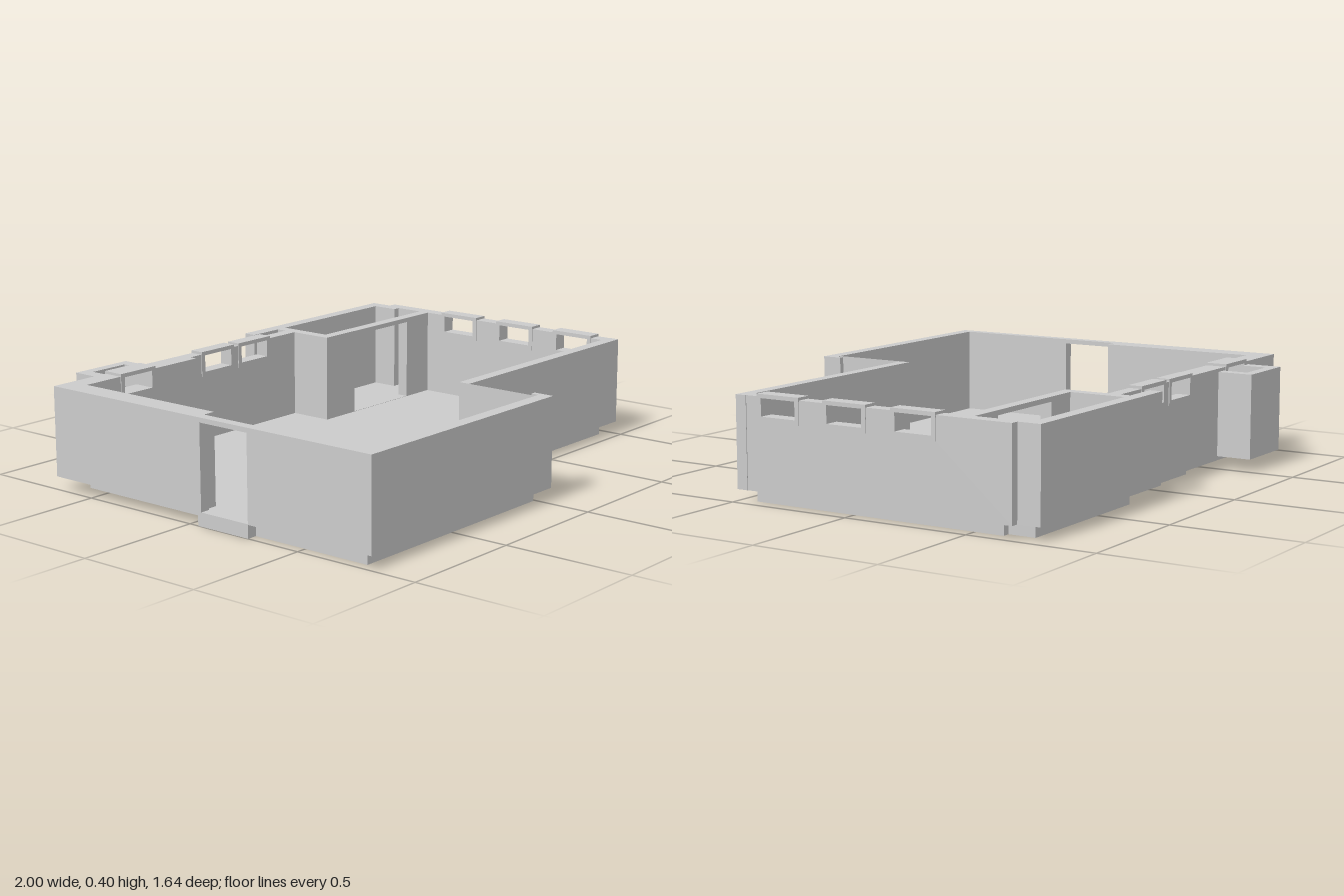
import * as THREE from 'three';

const BASE = 0.05, TOP = 0.393;

export function createModel() {
  const group = new THREE.Group();
  const mat = new THREE.MeshStandardMaterial({ color: 0xcccccc, flatShading: true });
  const sheetMat = new THREE.MeshStandardMaterial({ color: 0xcccccc, flatShading: true, side: THREE.DoubleSide });

  const add = (name, geo, material = mat) => {
    const mesh = new THREE.Mesh(geo, material);
    mesh.name = name;
    group.add(mesh);
  };
  const toShape = pts => new THREE.Shape(pts.map(p => new THREE.Vector2(...p)));
  const rect = (a, b, lo, hi) => [[a, lo], [b, lo], [b, hi], [a, hi]];

  // Extrude an elevation between two depths, running along x or along z
  const elevation = (name, axis, shape, d0, d1) => {
    const geo = new THREE.ExtrudeGeometry(shape, { depth: d1 - d0, bevelEnabled: false });
    if (axis === 'x') geo.translate(0, 0, d0);
    else geo.rotateY(-Math.PI / 2).translate(d1, 0, 0);
    add(name, geo);
  };

  // Wall with window notches cut from its top and door holes
  const wall = (name, axis, u0, u1, d0, d1, { windows = [], doors = [], top = TOP } = {}) => {
    const pts = [[u0, BASE], [u1, BASE], [u1, top]];
    [...windows].sort((a, b) => b[0] - a[0]).forEach(([a, b]) =>
      pts.push([b, top], [b, 0.303], [a, 0.303], [a, top]));
    pts.push([u0, top]);
    const shape = toShape(pts);
    doors.forEach(([a, b]) => shape.holes.push(toShape(rect(a, b, BASE + 0.002, 0.375))));
    elevation(name, axis, shape, d0, d1);
    // Window frames stand slightly proud of the wall
    windows.forEach(([a, b]) => {
      const frame = toShape(rect(a, b, 0.303, 0.403));
      frame.holes.push(toShape(rect(a + 0.018, b - 0.018, 0.322, 0.388)));
      elevation('windowFrame', axis, frame, d0 - 0.003, d1 + 0.003);
    });
  };

  // Floor slab, following the inside of the walls
  const plan = [
    [-0.96, 0.77], [-0.01, 0.77], [-0.01, 0.43], [0.945, 0.43], [0.945, -0.615], [0.915, -0.615],
    [0.915, -0.72], [0.275, -0.72], [0.275, -0.63], [-0.335, -0.63], [-0.335, -0.6], [-0.91, -0.6],
    [-0.91, 0.04], [-1, 0.04], [-1, 0.275], [-0.96, 0.275],
  ];
  const slab = new THREE.ExtrudeGeometry(toShape(plan.map(([x, z]) => [x, -z])),
    { depth: BASE + 0.001, bevelEnabled: false });
  add('floorSlab', slab.rotateX(-Math.PI / 2));

  // Left side: thin wall with the door, thicker wall behind it
  wall('leftFrontWall', 'z', 0.04, 0.82, -1, -0.96, { doors: [[0.055, 0.275]] });
  wall('leftBackWall', 'z', -0.68, 0.04, -1, -0.91);

  // Front walls and step
  wall('frontWall', 'x', -0.96, 0.03, 0.77, 0.82);
  wall('frontCornerPost', 'x', 0.01, 0.03, 0.74, 0.77);
  wall('stepFrontWall', 'x', -0.01, 1, 0.43, 0.475);

  // Right wall with three high windows
  wall('rightWall', 'z', -0.68, 0.43, 0.945, 0.997,
    { windows: [[-0.38, -0.195], [-0.092, 0.092], [0.195, 0.38]] });

  // Back walls
  wall('backLeftWall', 'x', -0.91, -0.335, -0.68, -0.6, { windows: [[-0.74, -0.56]] });
  wall('backWall', 'x', -0.335, 0.275, -0.68, -0.63, { windows: [[-0.275, -0.09], [-0.065, 0.122]] });

  // Small room in the back right corner
  wall('roomBackWall', 'x', 0.13, 0.915, -0.77, -0.72);
  wall('roomCornerPost', 'x', 0.915, 0.965, -0.77, -0.68);
  wall('roomCornerPost', 'x', 0.915, 0.945, -0.68, -0.615);
  wall('roomSideWall', 'z', -0.72, -0.5, 0.275, 0.32);
  wall('roomPartition', 'x', 0.275, 0.945, -0.5, -0.455, { doors: [[0.45, 0.8]] });

  // Hollow shaft outside the back wall
  const shaft = { top: 0.38 };
  wall('shaftSide', 'z', -0.82, -0.68, -0.76, -0.71, shaft);
  wall('shaftSide', 'z', -0.82, -0.68, -0.545, -0.5, shaft);
  wall('shaftBack', 'x', -0.71, -0.545, -0.82, -0.78, shaft);

  // Thin inner side of the step, and the sloping triangle in its corner
  const sheet = (name, pts, index) => {
    const geo = new THREE.BufferGeometry();
    geo.setAttribute('position', new THREE.Float32BufferAttribute(pts.flat(), 3));
    geo.setIndex(index);
    geo.computeVertexNormals();
    add(name, geo, sheetMat);
  };
  sheet('stepSideWall',
    [[-0.01, BASE, 0.77], [-0.01, BASE, 0.475], [-0.01, TOP, 0.475], [-0.01, TOP, 0.77]], [0, 1, 2, 0, 2, 3]);
  sheet('cornerSlope',
    [[-0.01, TOP, 0.475], [0.01, BASE, 0.75], [0.29, BASE, 0.475]], [0, 1, 2]);

  return group;
}
